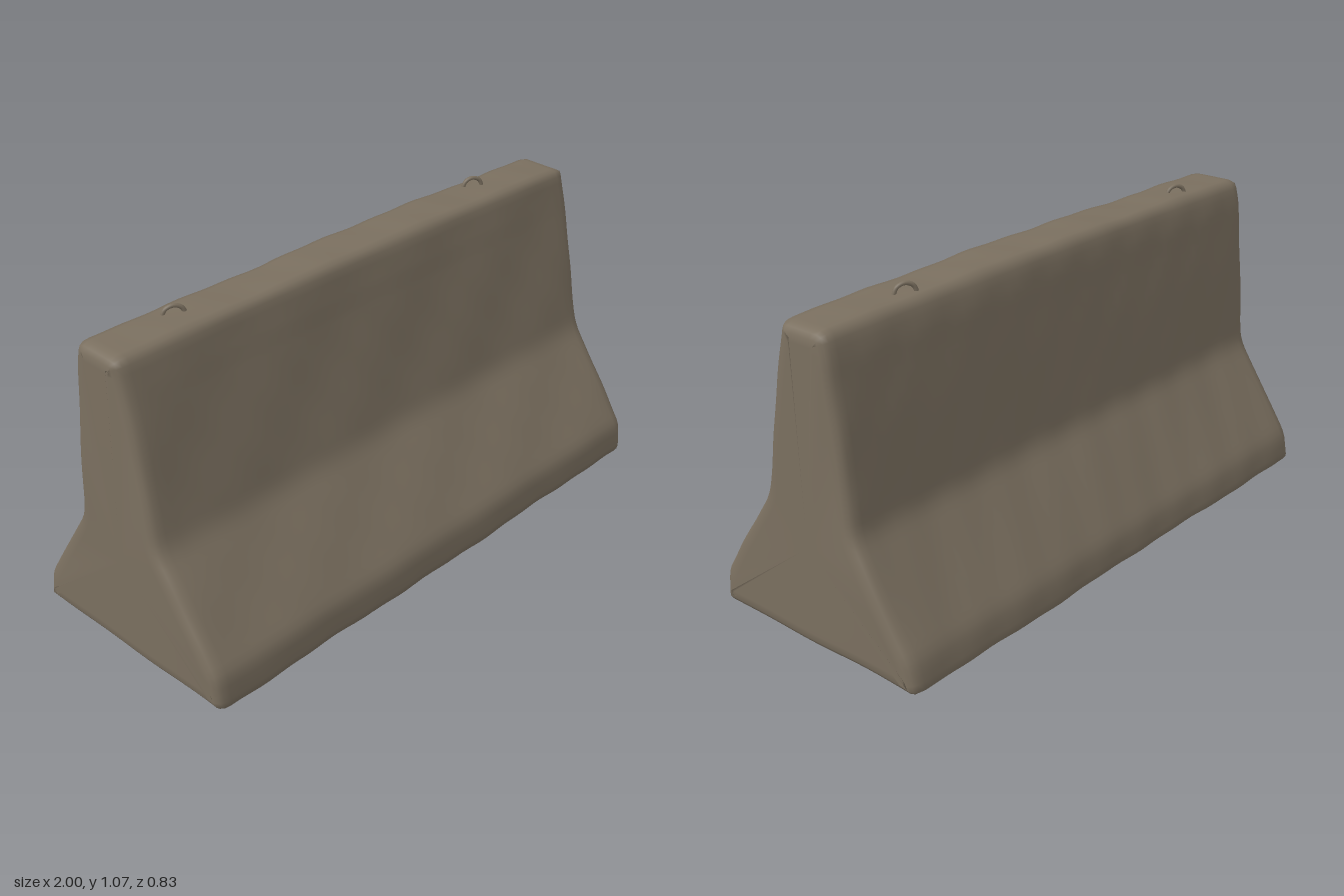
import * as THREE from 'three';

const concrete = new THREE.MeshStandardMaterial({ color: 0x7a6f5f });
concrete.name = 'weathered concrete';

// Barrier cross-section as [z, y, corner rounding], from front foot over the top to back foot
const PROFILE = [
  [0.412, 0.012, 0.025], [0.405, 0.13, 0.03], [0.18, 0.46, 0.04], [0.131, 0.69, 0.05],
  [0.06, 1.037, 0.02], [-0.117, 1.037, 0.025], [-0.137, 0.96, 0.03], [-0.16, 0.75, 0.05],
  [-0.183, 0.44, 0.04], [-0.392, 0.115, 0.03], [-0.412, 0.012, 0.025],
];

// Closed outline with softened corners, sampled evenly
function outline(count) {
  const path = new THREE.Path();
  const n = PROFILE.length;
  const toward = (a, b, r) => {
    const p = new THREE.Vector2(a[0], a[1]);
    const d = new THREE.Vector2(b[0], b[1]).sub(p).setLength(r);
    return p.add(d);
  };
  PROFILE.forEach((c, i) => {
    const a = toward(c, PROFILE[(i + n - 1) % n], c[2]);
    const b = toward(c, PROFILE[(i + 1) % n], c[2]);
    if (i === 0) path.moveTo(a.x, a.y);
    else path.lineTo(a.x, a.y);
    path.quadraticCurveTo(c[0], c[1], b.x, b.y);
  });
  path.closePath();
  return path.getSpacedPoints(count).slice(0, count);
}

// Gentle uneven surface
function wear(x, y, z) {
  return 0.0022 * Math.sin(5 * x + 7 * y + 3 * z)
    + 0.0018 * Math.sin(13 * x - 9 * y + 11 * z + 1)
    + 0.0012 * Math.sin(31 * x + 23 * y - 17 * z + 2);
}

function barrierGeometry() {
  const pts = outline(130);
  const n = pts.length;
  const normals = pts.map((p, j) => {
    const t = pts[(j + 1) % n].clone().sub(pts[(j + n - 1) % n]).normalize();
    return new THREE.Vector2(t.y, -t.x);
  });

  // Stations along x as [x, inset]; both ends are rounded over
  const end = [[0.998, 0.05], [0.996, 0.026], [0.987, 0.011], [0.972, 0.003], [0.95, 0]];
  const stations = end.map(([x, s]) => [-x, s]);
  for (let i = 1; i < 48; i++) stations.push([-0.95 + (1.9 * i) / 48, 0]);
  stations.push(...end.slice().reverse());

  const pos = [];
  const index = [];
  for (const [x, inset] of stations) {
    pts.forEach((p, j) => {
      const d = wear(x, p.y, p.x) - inset;
      const crown = p.y > 0.9 ? 0.009 * (1 - x * x) : 0;
      const endWave = Math.abs(x) > 0.94 ? 0.003 * Math.sin(9 * p.y + 5 * p.x) : 0;
      pos.push(x + endWave, Math.max(0, p.y + normals[j].y * d + crown), p.x + normals[j].x * d);
    });
  }
  const last = stations.length - 1;
  for (let i = 0; i < last; i++) {
    for (let j = 0; j < n; j++) {
      const k = (j + 1) % n;
      const a = i * n + j, b = a + n, c = (i + 1) * n + k, d = i * n + k;
      index.push(a, b, d, b, c, d);
    }
  }
  // End faces
  const left = pos.length / 3;
  pos.push(-0.998, 0.35, 0, 0.998, 0.35, 0);
  for (let j = 0; j < n; j++) {
    const k = (j + 1) % n;
    index.push(j, k, left, last * n + j, left + 1, last * n + k);
  }
  const g = new THREE.BufferGeometry();
  g.setAttribute('position', new THREE.Float32BufferAttribute(pos, 3));
  g.setIndex(index);
  g.computeVertexNormals();
  return g;
}

// Bent-bar lifting eye with legs sunk into the top
function liftingLoop(x, z, top) {
  const points = [[-0.034, -0.06], [-0.034, -0.03], [-0.024, -0.009], [0, 0], [0.024, -0.009], [0.034, -0.03], [0.034, -0.06]];
  const curve = new THREE.CatmullRomCurve3(points.map(([px, py]) => new THREE.Vector3(px, py, 0)));
  const loop = new THREE.Mesh(new THREE.TubeGeometry(curve, 24, 0.007, 8), concrete);
  loop.position.set(x, top - 0.007, z);
  loop.rotation.y = -0.45;
  return loop;
}

export function createModel() {
  const model = new THREE.Group();
  model.name = 'concreteBarrier';

  const body = new THREE.Mesh(barrierGeometry(), concrete);
  body.name = 'barrierBody';
  model.add(body);

  const rightLoop = liftingLoop(-0.7, -0.05, 1.07);
  rightLoop.name = 'rightLiftingLoop';
  const leftLoop = liftingLoop(0.63, -0.06, 1.075);
  leftLoop.name = 'leftLiftingLoop';
  model.add(rightLoop, leftLoop);
  return model;
}
